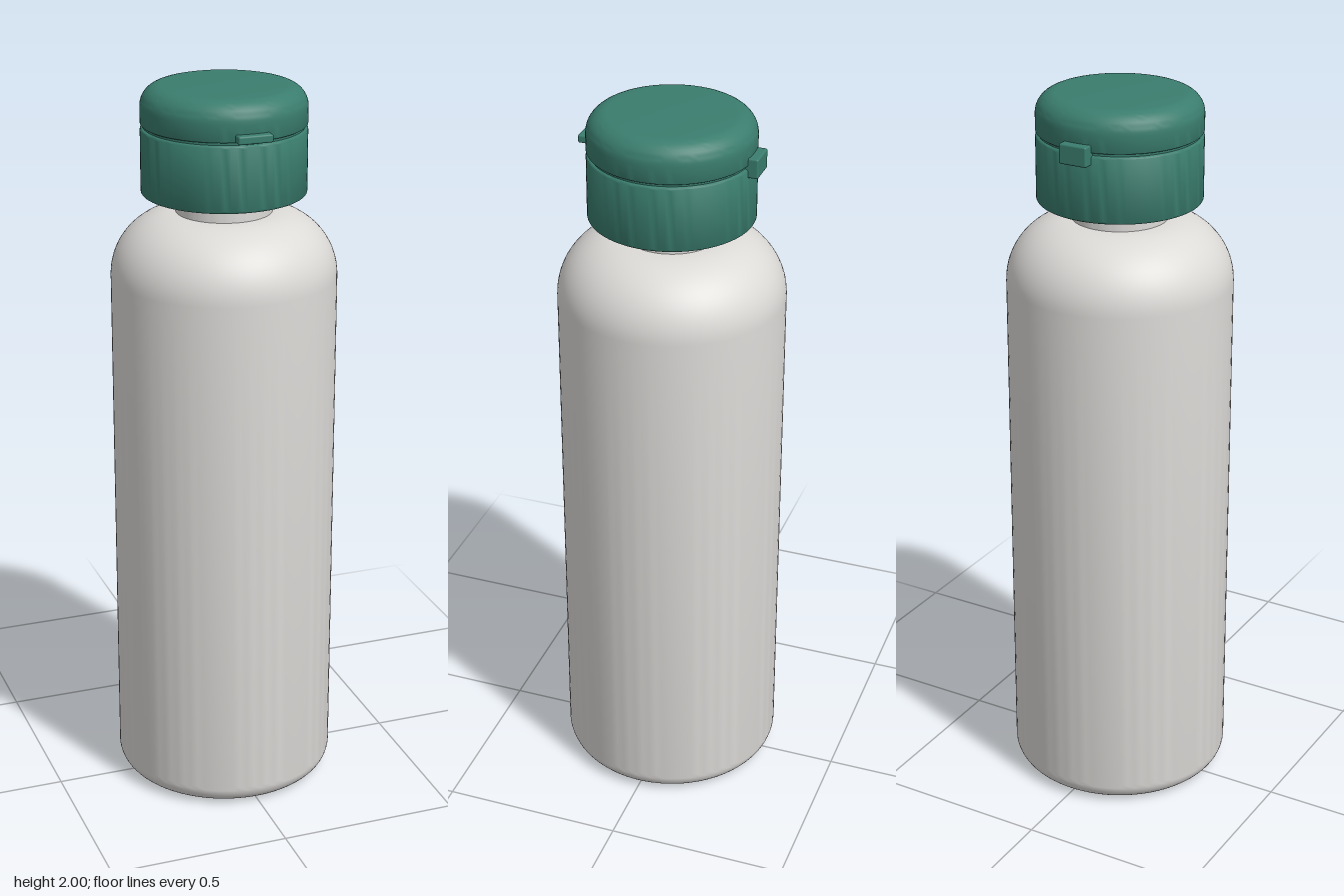
import * as THREE from 'three';
import { toCreasedNormals } from 'three/addons/utils/BufferGeometryUtils.js';
import { RoundedBoxGeometry } from 'three/addons/geometries/RoundedBoxGeometry.js';

const mat = (name, color) => Object.assign(new THREE.MeshStandardMaterial({ color }), { name });

// Points of a rounded corner, from angle a0 to a1 in degrees
function fillet(cx, cy, r, a0, a1, steps = 10) {
  return Array.from({ length: steps + 1 }, (_, i) => {
    const a = THREE.MathUtils.degToRad(a0 + (a1 - a0) * i / steps);
    return [cx + r * Math.cos(a), cy + r * Math.sin(a)];
  });
}

// Turned part: profile runs from the bottom up, hard corners stay sharp
function turned(name, profile, material) {
  const geo = new THREE.LatheGeometry(profile.map(([x, y]) => new THREE.Vector2(x, y)), 96);
  const mesh = new THREE.Mesh(toCreasedNormals(geo, 0.6), material);
  mesh.name = name;
  return mesh;
}

export function createModel() {
  const white = mat('bottle white', 0xdddbd8);
  const green = mat('cap green', 0x3a7d6e);
  const model = new THREE.Group();
  model.name = 'flipTopBottle';

  // Bottle with rounded base and shoulder
  model.add(turned('bottleBody', [
    [0, 0],
    ...fillet(0.246, 0.06, 0.06, -90, 0),
    ...fillet(0.131, 1.485, 0.175, 0, 90, 16),
    [0, 1.66],
  ], white));

  // Neck with a collar ring under the cap
  model.add(turned('neck', [
    [0.13, 1.655], [0.13, 1.692], [0.143, 1.695], [0.143, 1.72],
  ], white));

  // Cap base
  model.add(turned('capBase', [
    [0, 1.71], ...fillet(0.214, 1.718, 0.008, -90, 0, 4),
    ...fillet(0.214, 1.882, 0.008, 0, 90, 4), [0, 1.89],
  ], green));

  // Narrow seam between base and lid
  model.add(turned('seam', [[0.214, 1.885], [0.214, 1.903]], green));

  // Lid with rounded top edge
  model.add(turned('lid', [
    [0, 1.897], ...fillet(0.217, 1.902, 0.005, -90, 0, 4),
    ...fillet(0.167, 1.945, 0.055, 0, 90), [0, 2],
  ], green));

  // Front thumb tab and rear hinge
  const tab = (name, w, y0, y1, z0, z1) => {
    const geo = new RoundedBoxGeometry(w, y1 - y0, z1 - z0, 3, 0.005);
    const mesh = new THREE.Mesh(geo, green);
    mesh.position.set(0, (y0 + y1) / 2, (z0 + z1) / 2);
    mesh.name = name;
    model.add(mesh);
  };
  tab('thumbTab', 0.095, 1.897, 1.919, 0.19, 0.242);
  tab('hinge', 0.08, 1.865, 1.919, -0.245, -0.19);

  return model;
}
